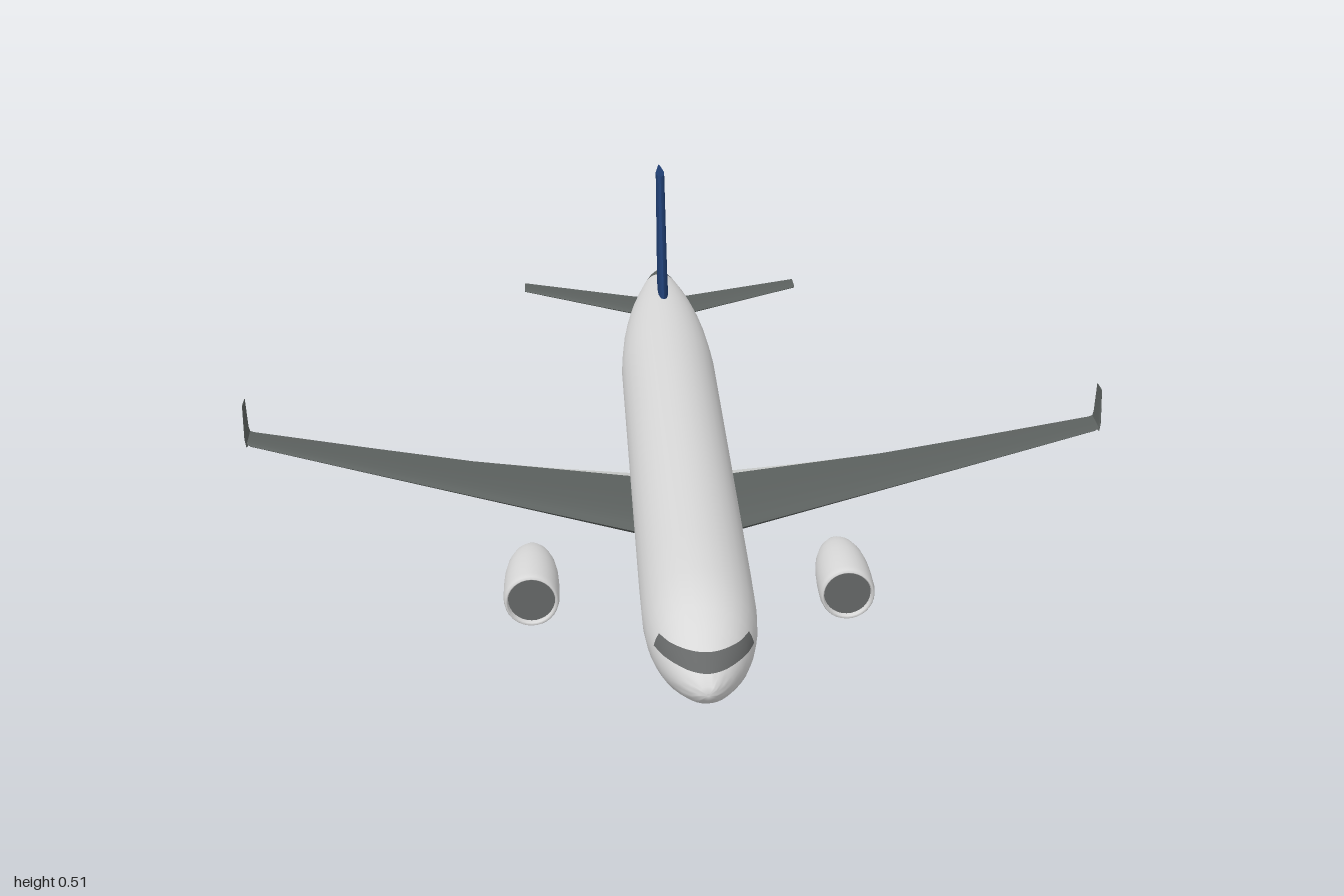
import * as THREE from 'three';
import { toCreasedNormals } from 'three/addons/utils/BufferGeometryUtils.js';

const paint = (name, color, side = THREE.FrontSide) => {
  const m = new THREE.MeshStandardMaterial({ color, side });
  m.name = name;
  return m;
};

// Skin over a list of rings (equal point counts), capped at both ends, facing outwards
function loft(rings, crease = 0.7) {
  const n = rings[0].length, pts = rings.flat(), tris = [];
  for (let r = 0; r < rings.length - 1; r++) {
    for (let i = 0; i < n; i++) {
      const a = r * n + i, b = r * n + (i + 1) % n;
      tris.push([a, b, b + n], [a, b + n, a + n]);
    }
  }
  const last = (rings.length - 1) * n;
  for (let i = 1; i < n - 1; i++) {
    tris.push([0, i + 1, i], [last, last + i, last + i + 1]);
  }
  const volume = tris.reduce((v, [a, b, c]) => v + pts[a].dot(pts[b].clone().cross(pts[c])), 0);
  const index = tris.flatMap(([a, b, c]) => (volume < 0 ? [a, c, b] : [a, b, c]));
  const g = new THREE.BufferGeometry().setFromPoints(pts);
  g.setIndex(index);
  return toCreasedNormals(g, crease);
}

// Body stations: z, top, bottom, half width
const BODY = [
  [1, 0.157, 0.151, 0.003], [0.993, 0.167, 0.14, 0.016], [0.98, 0.18, 0.128, 0.03],
  [0.96, 0.194, 0.117, 0.046], [0.93, 0.212, 0.105, 0.063], [0.9, 0.231, 0.094, 0.077],
  [0.86, 0.25, 0.083, 0.089], [0.81, 0.264, 0.073, 0.098], [0.74, 0.271, 0.066, 0.103],
  [0.6, 0.272, 0.064, 0.104], [0, 0.272, 0.064, 0.104], [-0.5, 0.272, 0.064, 0.104],
  [-0.58, 0.272, 0.068, 0.101], [-0.66, 0.272, 0.079, 0.095], [-0.74, 0.271, 0.098, 0.085],
  [-0.8, 0.269, 0.118, 0.074], [-0.86, 0.266, 0.145, 0.059], [-0.92, 0.261, 0.177, 0.041],
  [-0.96, 0.255, 0.2, 0.027], [-0.985, 0.249, 0.211, 0.017], [-0.995, 0.242, 0.218, 0.01],
];

const bodyRing = ([z, top, bottom, w]) => Array.from({ length: 32 }, (_, i) => {
  const a = (i / 32) * Math.PI * 2;
  return new THREE.Vector3(Math.cos(a) * w, (top + bottom) / 2 + Math.sin(a) * (top - bottom) / 2, z);
});

function bodyAt(z) {
  const i = Math.max(1, BODY.findIndex((s) => s[0] <= z));
  const a = BODY[i - 1], b = BODY[i], t = (z - a[0]) / (b[0] - a[0]);
  return a.map((v, k) => v + (b[k] - v) * t);
}

// Band that follows the nose surface between two heights
function windscreenGeometry(y0, y1, zBack) {
  const cols = 32, rows = 4;
  const g = new THREE.PlaneGeometry(1, 1, cols, rows), p = g.attributes.position;
  for (let r = 0; r <= rows; r++) {
    const y = y1 + (y0 - y1) * r / rows;
    let lo = zBack, hi = 1;
    for (let k = 0; k < 30; k++) {
      const mid = (lo + hi) / 2;
      if (bodyAt(mid)[1] > y) lo = mid; else hi = mid;
    }
    for (let c = 0; c <= cols; c++) {
      const u = (c / cols) * 2 - 1, z = lo - (lo - zBack) * u * u;
      const [, top, bottom, w] = bodyAt(z);
      const h = (y - (top + bottom) / 2) / ((top - bottom) / 2);
      const x = Math.sign(u) * (w * Math.sqrt(Math.max(0, 1 - h * h)) + 0.002 * Math.abs(u));
      p.setXYZ(r * (cols + 1) + c, x, y + 0.001, z + 0.003);
    }
  }
  g.computeVertexNormals();
  return g;
}

// Aerofoil section: chord fraction from the leading edge, share of thickness
const FOIL = [[0, 0], [0.04, 0.28], [0.15, 0.46], [0.35, 0.5], [0.7, 0.27], [1, 0.03],
  [1, -0.03], [0.7, -0.27], [0.35, -0.5], [0.15, -0.46], [0.04, -0.28]];

// Stations: span, offset, leading z, trailing z, thickness
const foil = (stations, place) => loft(stations.map(([s, o, lead, trail, t]) =>
  FOIL.map(([c, h]) => place(s, o + h * t, lead + (trail - lead) * c))));

export function createModel() {
  const model = new THREE.Group();
  model.name = 'airliner';
  const white = paint('bodyLightGrey', 0xd8d8d8);
  const whiteThin = paint('flapLightGrey', 0xc8cac9, THREE.DoubleSide);
  const grey = paint('wingGrey', 0x5c615f);
  const glass = paint('windscreenGrey', 0x666868, THREE.DoubleSide);
  const blue = paint('finBlue', 0x1f3d70);
  const add = (name, geometry, material, parent = model) => {
    const mesh = new THREE.Mesh(geometry, material);
    mesh.name = name;
    parent.add(mesh);
    return mesh;
  };

  // Fuselage, tail cone and windscreen
  const split = BODY.findIndex((s) => s[0] === -0.92);
  add('fuselage', loft(BODY.slice(0, split + 1).map(bodyRing)), white);
  add('tailCone', loft(BODY.slice(split).map(bodyRing)), grey);
  add('windscreen', windscreenGeometry(0.183, 0.206, 0.865), glass);

  // Tail fin
  const upright = (s, o, z) => new THREE.Vector3(o, s, z);
  add('tailFin', foil([
    [0.235, 0, -0.69, -0.957, 0.024], [0.272, 0, -0.705, -0.961, 0.024],
    [0.32, 0, -0.755, -0.966, 0.023], [0.515, 0, -0.88, -0.982, 0.02],
  ], upright), blue);

  // Engine profile from the rear tip to the inside of the intake lip
  const nacelle = new THREE.LatheGeometry([
    [0, 0.195], [0.014, 0.199], [0.026, 0.212], [0.038, 0.24], [0.047, 0.275], [0.052, 0.315],
    [0.054, 0.36], [0.054, 0.41], [0.052, 0.424], [0.049, 0.43], [0.046, 0.426], [0.045, 0.41],
  ].map(([r, z]) => new THREE.Vector2(r, z)), 32).rotateX(Math.PI / 2);

  for (const side of [1, -1]) {
    const half = new THREE.Group();
    half.name = side > 0 ? 'leftSide' : 'rightSide';
    model.add(half);
    const across = (s, o, z) => new THREE.Vector3(side * s, o, z);

    // Main wing with a kinked trailing edge
    add('wing', foil([
      [0.04, 0.107, 0.255, -0.04, 0.034], [0.1, 0.11, 0.23, -0.047, 0.031],
      [0.25, 0.119, 0.163, -0.07, 0.024], [0.43, 0.131, 0.084, -0.094, 0.017],
      [0.65, 0.146, -0.013, -0.143, 0.012], [0.895, 0.163, -0.122, -0.201, 0.007],
      [0.907, 0.166, -0.135, -0.204, 0.004],
    ], across), grey, half);

    // Winglet
    add('winglet', foil([
      [0.16, side * 0.903, -0.125, -0.204, 0.005], [0.175, side * 0.907, -0.132, -0.204, 0.004],
      [0.24, side * 0.911, -0.157, -0.204, 0.002],
    ], upright), grey, half);

    // Light flap behind the inboard trailing edge
    add('flap', foil([
      [0.08, 0.1, -0.01, -0.084, 0.008], [0.25, 0.113, -0.04, -0.089, 0.006],
      [0.43, 0.128, -0.07, -0.1, 0.005], [0.62, 0.142, -0.115, -0.142, 0.003],
    ], across), whiteThin, half);

    // Tailplane
    add('tailplane', foil([
      [0.02, 0.203, -0.775, -0.91, 0.014], [0.07, 0.205, -0.8, -0.921, 0.012],
      [0.325, 0.216, -0.937, -0.998, 0.006],
    ], across), grey, half);

    // Engine
    const engine = new THREE.Group();
    engine.name = 'engine';
    engine.position.set(side * 0.305, 0.056, 0);
    half.add(engine);
    add('nacelle', nacelle, white, engine);
    add('intake', new THREE.CircleGeometry(0.046, 32), glass, engine).position.z = 0.415;
  }
  return model;
}
